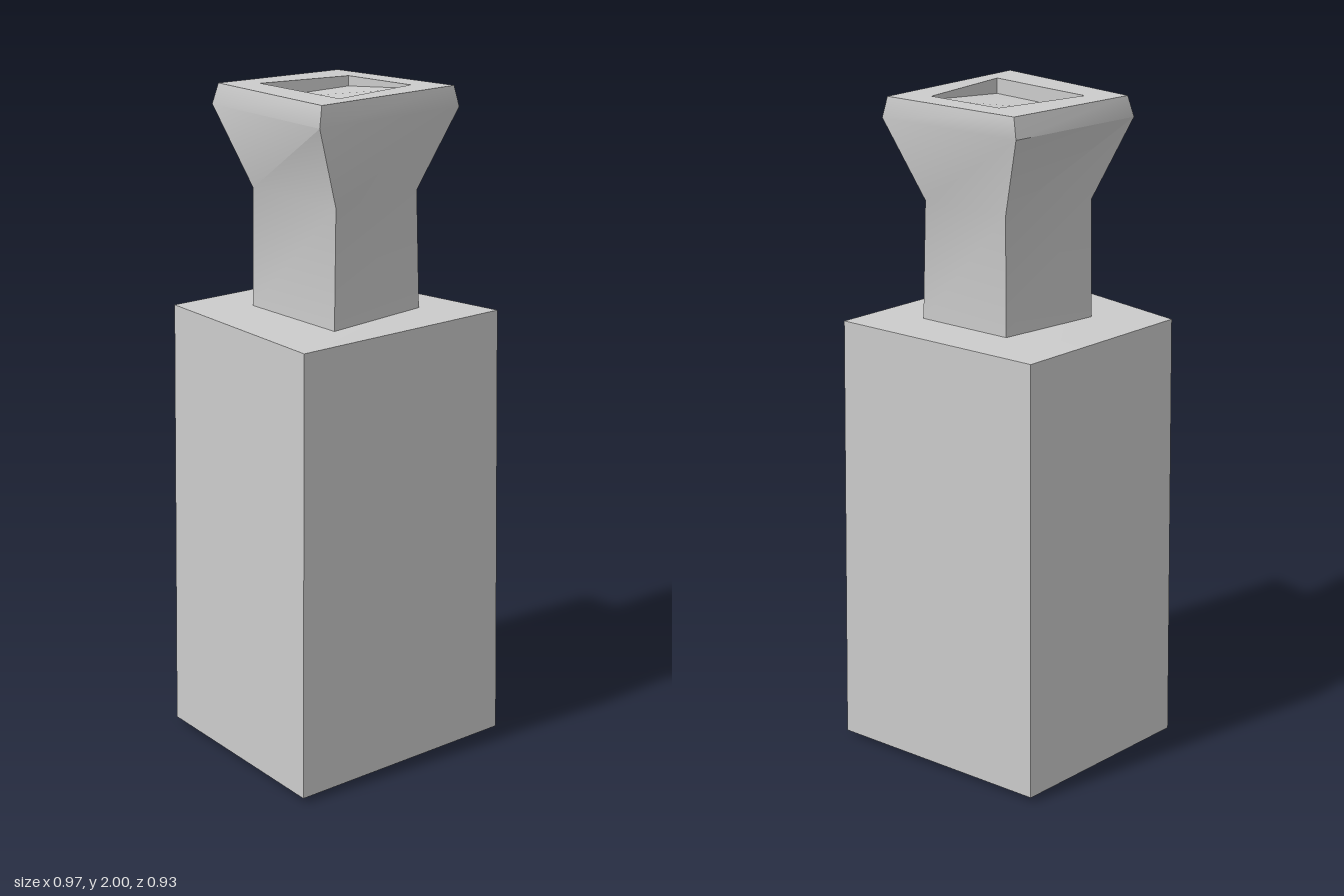
import * as THREE from 'three';
import { toCreasedNormals } from 'three/addons/utils/BufferGeometryUtils.js';

// Each ring has four corners [x, y, z], in the order left, front, right, back of the plan
const ring = (y, corners) => corners.map(([x, z, dy = 0]) => [x, y + dy, z]);
const scaled = (corners, s) => corners.map(([x, z]) => [x * s, z * s]);

// Skin a stack of four-cornered rings, optionally closing the first and last
function loft(rings, capStart, capEnd) {
  const pos = [];
  const quad = (a, b, c, d) => pos.push(...a, ...b, ...c, ...a, ...c, ...d);
  for (let r = 0; r < rings.length - 1; r++) {
    const lo = rings[r], hi = rings[r + 1];
    for (let i = 0; i < 4; i++) {
      const j = (i + 1) % 4;
      quad(lo[i], lo[j], hi[j], hi[i]);
    }
  }
  if (capStart) quad(...[...rings[0]].reverse());
  if (capEnd) quad(...rings[rings.length - 1]);
  const geo = new THREE.BufferGeometry();
  geo.setAttribute('position', new THREE.Float32BufferAttribute(pos, 3));
  return toCreasedNormals(geo, THREE.MathUtils.degToRad(33));
}

export function createModel() {
  const group = new THREE.Group();
  const material = new THREE.MeshStandardMaterial({ color: 0xcccccc });
  const add = (name, geometry) => {
    const mesh = new THREE.Mesh(geometry, material);
    mesh.name = name;
    group.add(mesh);
  };

  // Skewed square outlines
  const base = [[-0.487, -0.14], [-0.168, 0.462], [0.485, 0.07], [0.03, -0.463]];
  const shoulder = [[-0.465, -0.135], [-0.157, 0.442], [0.462, 0.063], [0.03, -0.44]];
  const neckFoot = [[-0.24, -0.075], [-0.045, 0.245], [0.237, 0.02], [0.045, -0.21]];
  const neckTop = [[-0.235, -0.075], [-0.04, 0.24], [0.227, 0.02], [0.045, -0.202]];
  const lip = [[-0.346, -0.11], [-0.098, 0.336], [0.343, 0.04], [0.044, -0.321]];
  const rim = [[-0.328, -0.105], [-0.09, 0.32], [0.328, 0.036], [0.046, -0.304]];
  const opening = [[-0.21, -0.08], [-0.027, 0.215], [0.208, 0.01], [0.059, -0.183]];
  // Third value: depth of the opening's floor at each corner
  const depths = [-0.045, -0.045, -0.01, -0.03];
  const floor = opening.map(([x, z], i) => [x, z, depths[i]]);

  // Tapered body with a slightly bulged underside and shoulder
  add('body', loft([
    ring(0, scaled(base, 0.77)),
    ring(0.015, base),
    ring(1.345, shoulder),
    ring(1.35, neckFoot),
  ], true, false));

  // Neck flaring out to the bevelled lip, with a shallow opening on top
  add('neck', loft([
    ring(1.35, neckFoot),
    ring(1.7, neckTop),
    ring(1.94, lip),
    ring(2, rim),
    ring(2, opening),
    ring(2, floor),
  ], false, true));

  return group;
}
